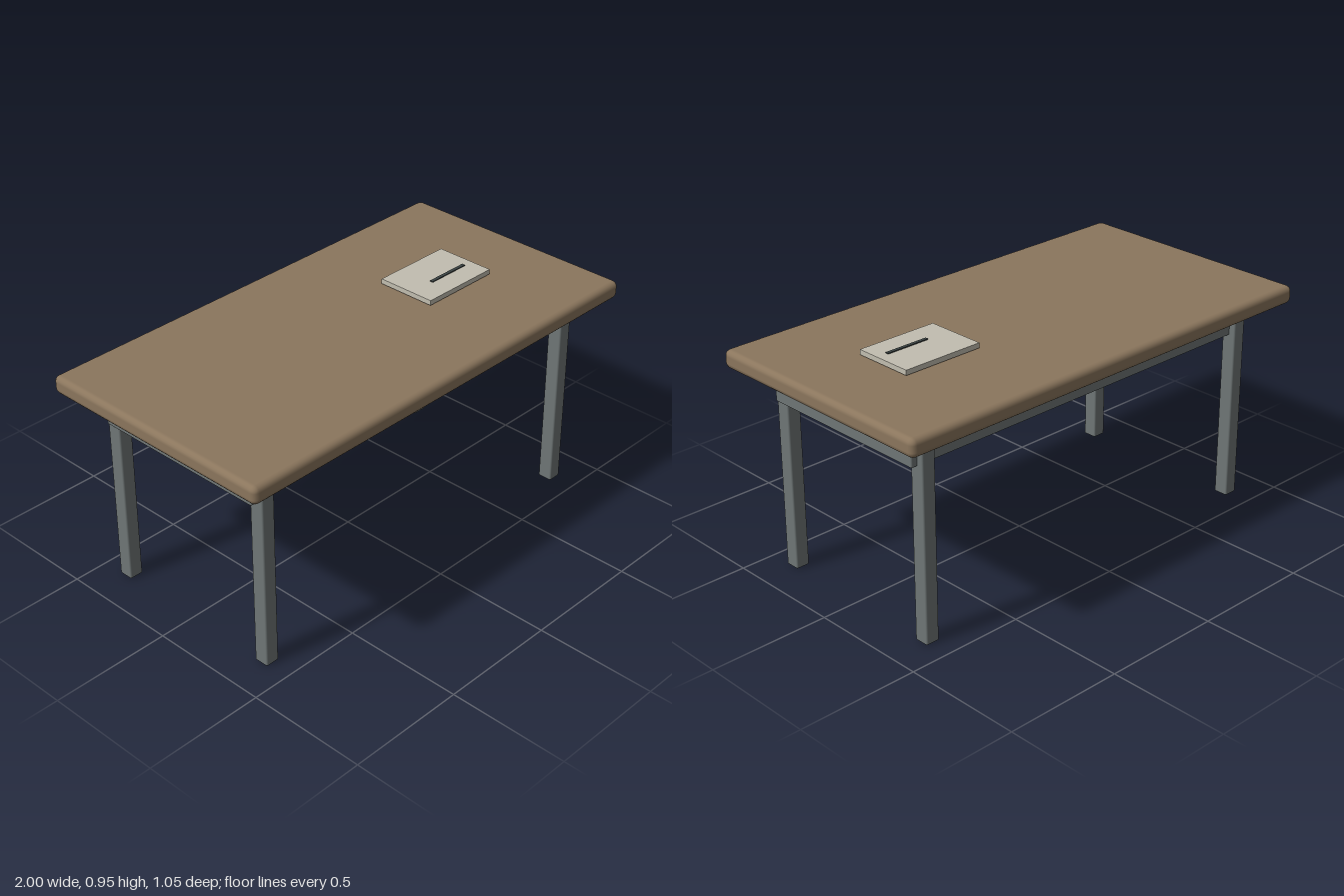
import * as THREE from 'three';
import { RoundedBoxGeometry } from 'three/addons/geometries/RoundedBoxGeometry.js';

export function createModel() {
  const model = new THREE.Group();
  model.name = 'table';

  const wood = new THREE.MeshStandardMaterial({ color: 0x8b765d });
  const steel = new THREE.MeshStandardMaterial({ color: 0x6f7676 });
  const paper = new THREE.MeshStandardMaterial({ color: 0xc2beb0 });
  const ink = new THREE.MeshStandardMaterial({ color: 0x3c4444 });

  // Box with softened edges (bevel 0 keeps them sharp), placed by its centre
  function addBox(name, material, [w, h, d], [x, y, z], bevel = 0) {
    const geometry = bevel
      ? new RoundedBoxGeometry(w, h, d, 2, bevel)
      : new THREE.BoxGeometry(w, h, d);
    const mesh = new THREE.Mesh(geometry, material);
    mesh.name = name;
    mesh.position.set(x, y, z);
    model.add(mesh);
  }

  // Tabletop and the solid frame block hanging below it
  addBox('tabletop', wood, [2, 0.075, 1.055], [0, 0.8775, 0], 0.024);
  addBox('underFrame', steel, [1.764, 0.068, 0.762], [0, 0.75, 0], 0.006);

  // Four legs, standing slightly proud of the frame at front and back
  for (const x of [-1, 1]) {
    for (const z of [-1, 1]) {
      const name = (z > 0 ? 'front' : 'back') + (x > 0 ? 'Left' : 'Right') + 'Leg';
      addBox(name, steel, [0.06, 0.845, 0.062], [x * 0.826, 0.4225, z * 0.378], 0.007);
    }
  }

  // Pad on the tabletop with a dark strip on it
  addBox('pad', paper, [0.353, 0.021, 0.256], [0.5025, 0.9315, 0]);
  addBox('padStrip', ink, [0.192, 0.006, 0.014], [0.538, 0.943, 0.03]);

  return model;
}
